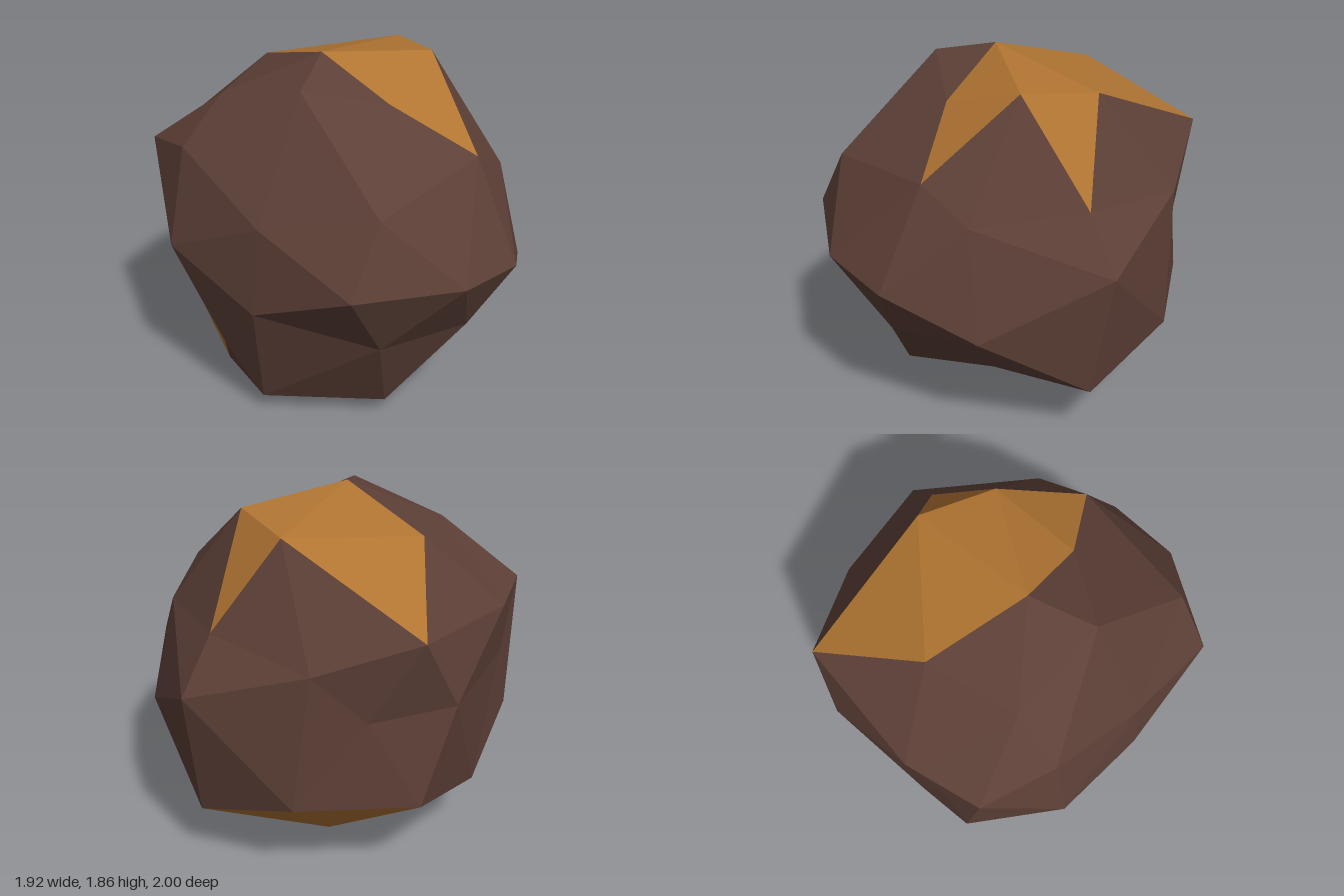
import * as THREE from 'three';

// Twelve main corners of the boulder (a distorted icosahedron)
const corners = {
  H: [0, 1.655, 0.345], E: [-0.195, 1.7, -0.54],      // top front, top back
  Q: [-0.55, 0.97, 0.87], S: [0.41, 0.895, 0.88],     // front pair
  W: [-0.63, 1.0, -0.7], X: [0.37, 0.97, -0.78],      // back pair
  O: [-0.86, 1.43, -0.2], L: [0.755, 1.3, -0.07],     // upper sides
  Z: [-0.785, 0.38, 0], U: [0.845, 0.33, -0.055],     // lower sides
  Y: [-0.145, 0.1, 0.555], C: [-0.03, 0.22, -0.5],    // bottom front, bottom back
};

// One bumped point on each edge between two corners
const edges = {
  EH: [-0.175, 1.855, 0], HQ: [-0.35, 1.31, 0.8], HS: [0.34, 1.405, 0.62],
  HO: [-0.43, 1.77, 0.23], HL: [0.4, 1.8, 0.13], EL: [0.46, 1.765, -0.255],
  EO: [-0.6, 1.64, -0.27], EW: [-0.495, 1.345, -0.82], EX: [0.205, 1.405, -0.98],
  QS: [0.01, 0.935, 1], OQ: [-0.74, 1.17, 0.34], QZ: [-0.785, 0.715, 0.34],
  QY: [-0.295, 0.56, 0.73], LS: [0.6, 1.26, 0.485], SU: [0.74, 0.705, 0.51],
  SY: [0.21, 0.56, 0.76], LU: [0.96, 1.03, -0.105], LX: [0.6, 1.23, -0.63],
  OZ: [-0.965, 0.915, -0.19], OW: [-0.845, 1.34, -0.6], UX: [0.67, 0.505, -0.58],
  UY: [0.36, 0.265, 0.26], CU: [0.33, 0.195, -0.455], YZ: [-0.665, 0.1, 0.185],
  CZ: [-0.62, 0.045, -0.31], WZ: [-0.755, 0.64, -0.65], CY: [-0.14, 0, 0.04],
  CX: [0.17, 0.505, -0.95], CW: [-0.41, 0.34, -0.76], WX: [0, 1.03, -1],
};

// Ore facets: main triangle, then which of its parts (a corner, or m for the middle)
const ore = {
  EHL: 'EHLm', HLS: 'H', ELX: 'E',                             // top vein
  CUX: 'CUm', CWX: 'C', CWZ: 'CZm', CYZ: 'C', CUY: 'C',        // bottom vein
};

const centre = new THREE.Vector3(0, 0.93, 0);

// Adds a facet, turned so that it faces outwards
function addFacet(list, points) {
  const [a, b, c] = points.map((p) => new THREE.Vector3(...p));
  const normal = b.clone().sub(a).cross(c.clone().sub(a));
  const outward = a.clone().add(b).add(c).divideScalar(3).sub(centre);
  const order = normal.dot(outward) > 0 ? [a, b, c] : [a, c, b];
  order.forEach((v) => list.push(v.x, v.y, v.z));
}

function facetMesh(name, list, material) {
  const geometry = new THREE.BufferGeometry();
  geometry.setAttribute('position', new THREE.Float32BufferAttribute(list, 3));
  geometry.computeVertexNormals();
  const mesh = new THREE.Mesh(geometry, material);
  mesh.name = name;
  return mesh;
}

export function createModel() {
  const stone = new THREE.MeshStandardMaterial({ color: 0x5d4037, flatShading: true });
  stone.name = 'brown stone';
  const gold = new THREE.MeshStandardMaterial({ color: 0xb07432, flatShading: true });
  gold.name = 'golden ore';

  const stoneFacets = [];
  const oreFacets = [];
  const names = Object.keys(corners).sort();

  // Every three corners joined by edges form a main triangle, split into four facets
  for (const a of names) for (const b of names) for (const c of names) {
    const [ab, bc, ac] = [edges[a + b], edges[b + c], edges[a + c]];
    if (!ab || !bc || !ac) continue;
    const parts = {
      [a]: [corners[a], ab, ac],
      [b]: [corners[b], bc, ab],
      [c]: [corners[c], ac, bc],
      m: [ab, bc, ac],
    };
    const veins = ore[a + b + c] || '';
    for (const key in parts) {
      addFacet(veins.includes(key) ? oreFacets : stoneFacets, parts[key]);
    }
  }

  const boulder = new THREE.Group();
  boulder.name = 'boulder';
  boulder.add(facetMesh('stoneFacets', stoneFacets, stone));
  boulder.add(facetMesh('oreVeins', oreFacets, gold));
  return boulder;
}
